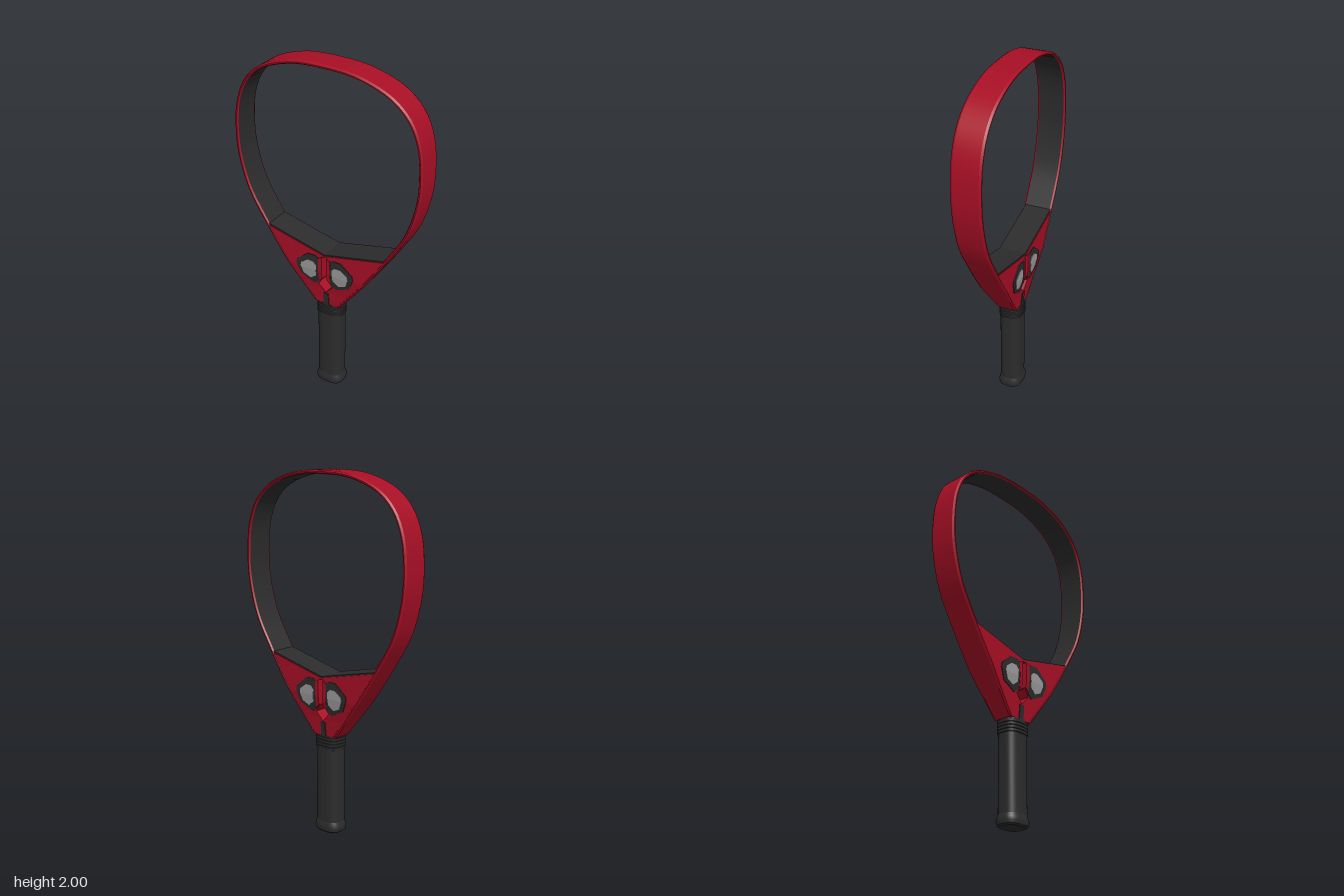
import * as THREE from 'three';
import { mergeGeometries, toCreasedNormals } from 'three/addons/utils/BufferGeometryUtils.js';

const mat = (name, color, side = THREE.FrontSide) => {
  const m = new THREE.MeshStandardMaterial({ color, side });
  m.name = name;
  return m;
};

// Half depth of the frame at each height: full in the hoop, narrowing to the handle
const LEVELS = [[0.55, 0.057], [0.66, 0.067], [0.79, 0.082], [2.1, 0.082]];
function halfDepth(y) {
  for (let i = 1; i < LEVELS.length; i++) {
    const [y0, d0] = LEVELS[i - 1], [y1, d1] = LEVELS[i];
    if (y <= y1) return d0 + (d1 - d0) * (y - y0) / (y1 - y0);
  }
  return 0.082;
}

// Keeps the part of a polygon above (sign 1) or below (sign -1) a height
function clip(poly, h, sign) {
  const out = [];
  poly.forEach((a, i) => {
    const b = poly[(i + 1) % poly.length];
    const da = (a[1] - h) * sign, db = (b[1] - h) * sign;
    if (da >= 0) out.push(a);
    if (da * db < 0) {
      const t = da / (da - db);
      out.push([a[0] + (b[0] - a[0]) * t, h]);
    }
  });
  return out;
}

// Front-to-back slab that follows the frame depth, raised by offset on both faces
function slab(poly, offset, side) {
  const pieces = [];
  for (let i = 1; i < LEVELS.length; i++) {
    const part = clip(clip(poly, LEVELS[i - 1][0], 1), LEVELS[i][0], -1);
    if (part.length < 3) continue;
    const shape = new THREE.Shape(part.map(([x, y]) => new THREE.Vector2(x * side, y)));
    const g = new THREE.ExtrudeGeometry(shape, { depth: 1, bevelEnabled: false });
    const p = g.attributes.position;
    for (let k = 0; k < p.count; k++) {
      p.setZ(k, (p.getZ(k) * 2 - 1) * (halfDepth(p.getY(k)) + offset));
    }
    g.computeVertexNormals();
    pieces.push(g);
  }
  return mergeGeometries(pieces);
}

// Sweeps an open cross-section of [outward, z] points along the outline
function sweep(curve, section, steps) {
  const pos = [], index = [], n = section.length;
  for (let i = 0; i <= steps; i++) {
    const p = curve.getPointAt(i / steps), t = curve.getTangentAt(i / steps);
    const k = halfDepth(p.y) / 0.082;
    for (const [o, z] of section) pos.push(p.x + t.y * o, p.y - t.x * o, z * k);
  }
  for (let i = 0; i < steps; i++) {
    for (let j = 0; j < n - 1; j++) {
      const a = i * n + j, b = a + n;
      index.push(a, b, b + 1, a, b + 1, a + 1);
    }
  }
  const g = new THREE.BufferGeometry();
  g.setAttribute('position', new THREE.Float32BufferAttribute(pos, 3));
  g.setIndex(index);
  return toCreasedNormals(g, 0.5);
}

// Grip part: a lathe pressed into a rounded, flattened section
function gripPart(profile) {
  const g = new THREE.LatheGeometry(profile.map(([r, y]) => new THREE.Vector2(r, y)), 40);
  const p = g.attributes.position;
  for (let i = 0; i < p.count; i++) {
    const x = p.getX(i), z = p.getZ(i), r = Math.hypot(x, z);
    if (r < 1e-6) continue;
    const c = Math.abs(x / r), s = Math.abs(z / r);
    const k = 1 / Math.pow(c ** 3 + s ** 3, 1 / 3);
    p.setX(i, x * k);
    p.setZ(i, z * k * 0.81);
  }
  return toCreasedNormals(g, 0.6);
}

export function createModel() {
  const model = new THREE.Group();
  model.name = 'racket';
  const red = mat('frame red', 0xa80f25, THREE.DoubleSide);
  const black = mat('grip black', 0x2c2c2c, THREE.DoubleSide);
  const grey = mat('window grey', 0x9c9a9a);
  const add = (name, geometry, material) => {
    const m = new THREE.Mesh(geometry, material);
    m.name = name;
    model.add(m);
  };

  // Hoop outline, right half mirrored to the left
  const half = [
    [0.082, 0.565], [0.25, 0.785], [0.4, 1.01], [0.497, 1.18], [0.553, 1.38],
    [0.562, 1.54], [0.543, 1.7], [0.487, 1.825], [0.385, 1.918], [0.2, 1.985],
  ];
  const outline = [...half, [0, 2], ...half.map(([x, y]) => [-x, y]).reverse()];
  const curve = new THREE.CatmullRomCurve3(outline.map(([x, y]) => new THREE.Vector3(x, y, 0)));
  add('hoop', sweep(curve, [
    [-0.02, -0.072], [-0.014, -0.082], [-0.007, -0.082], [0, -0.07],
    [0, 0.07], [-0.007, 0.082], [-0.014, 0.082], [-0.02, 0.072],
  ], 110), red);
  add('hoopLining', sweep(curve, [[-0.02, 0.072], [-0.02, -0.072]], 110), black);

  // Throat halves around the central slot, with lining, slot trim and windows
  const throat = [
    [0, 0.897], [0.374, 0.983], [0.238, 0.785], [0.076, 0.565], [0, 0.565],
    [0, 0.65], [0.045, 0.7], [0.016, 0.74], [0.016, 0.888], [0, 0.888],
  ];
  const lining = [[0, 0.897], [0, 0.904], [0.37, 0.99], [0.372, 0.983]];
  const trim = [[0.015, 0.745], [0.036, 0.725], [0.038, 0.875], [0.015, 0.885]];
  const frame = [
    [0.036, 0.87], [0.055, 0.885], [0.105, 0.885], [0.178, 0.825],
    [0.182, 0.8], [0.155, 0.735], [0.07, 0.695], [0.036, 0.72],
  ];
  const pane = [
    [0.05, 0.825], [0.07, 0.845], [0.105, 0.845], [0.148, 0.815],
    [0.152, 0.79], [0.134, 0.747], [0.09, 0.727], [0.054, 0.755],
  ];
  for (const side of [1, -1]) {
    const label = side > 0 ? 'left' : 'right';
    add(label + 'Throat', slab(throat, -0.002, side), red);
    add(label + 'ThroatLining', slab(lining, -0.006, side), black);
    add(label + 'SlotTrim', slab(trim, 0.004, side), red);
    add(label + 'WindowFrame', slab(frame, 0.002, side), black);
    add(label + 'WindowPane', slab(pane, 0.005, side), grey);
  }
  add('throatStrip', slab([[-0.016, 0.56], [0.016, 0.56], [0.016, 0.645], [-0.016, 0.645]], 0.002, 1), black);

  // Grip, butt cap and ribbed collar
  add('grip', gripPart([[0.074, 0.04], [0.074, 0.5]]), black);
  add('buttCap', gripPart([
    [0, 0], [0.07, 0], [0.08, 0.008], [0.084, 0.025], [0.083, 0.04], [0.074, 0.062],
  ]), black);
  const collar = [[0.074, 0.488]];
  for (let i = 0; i < 4; i++) {
    const y = 0.49 + i * 0.018;
    collar.push([0.079, y], [0.08, y + 0.014], [0.076, y + 0.016]);
  }
  collar.push([0.074, 0.566], [0, 0.566]);
  add('collar', gripPart(collar), black);
  return model;
}
